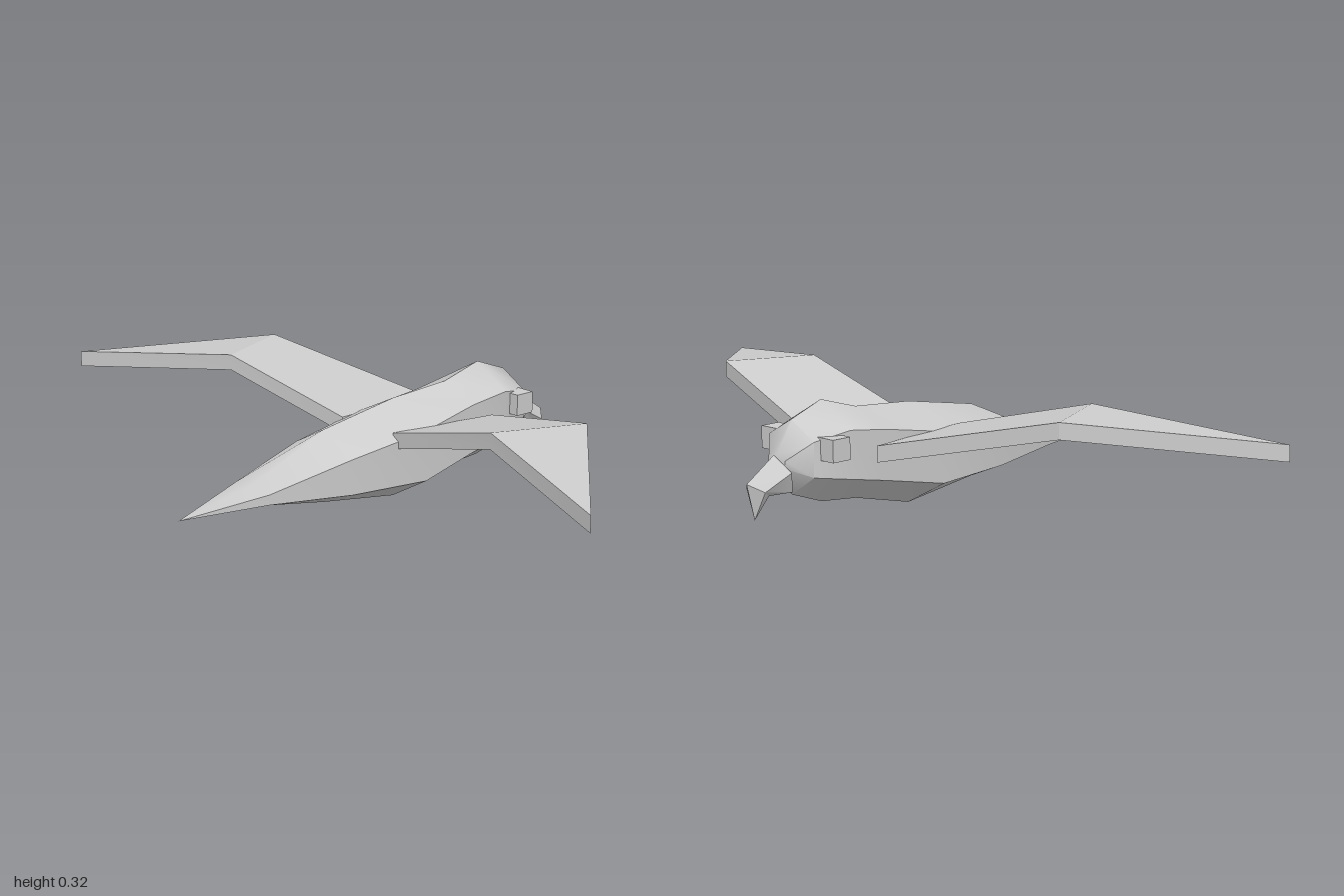
import * as THREE from 'three';
import { toCreasedNormals } from 'three/addons/utils/BufferGeometryUtils.js';

// Skin a series of rings (equal point counts), closing both ends; zero-area faces are dropped.
function loft(rings, crease) {
  const out = [];
  const tri = (a, b, c) => {
    const [A, B, C] = [a, b, c].map((p) => new THREE.Vector3(...p));
    if (B.sub(A).cross(C.sub(A)).length() > 1e-7) out.push(...a, ...b, ...c);
  };
  const n = rings[0].length;
  const last = rings[rings.length - 1];
  for (let i = 0; i < rings.length - 1; i++) {
    for (let j = 0; j < n; j++) {
      const k = (j + 1) % n;
      tri(rings[i][j], rings[i + 1][j], rings[i][k]);
      tri(rings[i][k], rings[i + 1][j], rings[i + 1][k]);
    }
  }
  for (let j = 1; j < n - 1; j++) {
    tri(rings[0][0], rings[0][j], rings[0][j + 1]);
    tri(last[0], last[j + 1], last[j]);
  }
  const g = new THREE.BufferGeometry();
  g.setAttribute('position', new THREE.Float32BufferAttribute(out, 3));
  return toCreasedNormals(g, crease);
}

export function createModel() {
  const model = new THREE.Group();
  model.name = 'bird';
  const grey = new THREE.MeshStandardMaterial({ color: 0xcccccc });
  grey.name = 'plain grey';
  const add = (name, geometry) => {
    const mesh = new THREE.Mesh(geometry, grey);
    mesh.name = name;
    model.add(mesh);
    return mesh;
  };

  // Body: hexagonal sections from tail tip to face
  // [z, half width, top, upper side, lower side, bottom]
  const sections = [
    [0.635, 0, 0.087, 0.087, 0.087, 0.087],
    [0.40, 0.07, 0.132, 0.122, 0.095, 0.085],
    [0.16, 0.112, 0.232, 0.175, 0.08, 0.035],
    [-0.08, 0.132, 0.272, 0.21, 0.073, 0.002],
    [-0.27, 0.11, 0.285, 0.24, 0.108, 0.045],
    [-0.39, 0.11, 0.319, 0.255, 0.13, 0.056],
    [-0.49, 0.082, 0.282, 0.235, 0.145, 0.09],
    [-0.54, 0.03, 0.2, 0.187, 0.168, 0.155],
  ];
  add('body', loft(sections.map(([z, w, top, up, low, bottom]) => [
    [0, bottom, z], [w, low, z], [w, up, z], [0, top, z], [-w, up, z], [-w, low, z],
  ]), 0.72));

  // Hooked beak: five-sided sections closing to a point
  const beakRing = (ridge, side, under) => [
    [under[0], under[1], under[2]], [side[0], side[1], side[2]], [0, ridge[0], ridge[1]],
    [-side[0], side[1], side[2]], [-under[0], under[1], under[2]],
  ];
  add('beak', loft([
    beakRing([0.2, -0.55], [0.05, 0.16, -0.535], [0.03, 0.105, -0.515]),
    beakRing([0.14, -0.64], [0.035, 0.12, -0.61], [0.02, 0.105, -0.585]),
    beakRing([0.045, -0.615], [0, 0.045, -0.615], [0, 0.045, -0.615]),
  ], 0.3));

  // Wings and eyes, mirrored
  // [lead x, lead z, trail x, trail z, lead bottom y, trail bottom y]
  const wing = [
    [0.13, -0.32, 0.10, 0.01, 0.165, 0.172],
    [0.61, -0.178, 0.51, 0.06, 0.272, 0.272],
    [1, 0.22, 1, 0.22, 0.215, 0.215],
  ];
  const thick = 0.043;
  for (const s of [1, -1]) {
    const side = s > 0 ? 'left' : 'right';
    add(side + 'Wing', loft(wing.map(([lx, lz, tx, tz, ly, ty]) => {
      const ring = [
        [s * lx, ly, lz], [s * tx, ty, tz], [s * tx, ty + thick, tz], [s * lx, ly + thick, lz],
      ];
      return s > 0 ? ring : ring.reverse();
    }), 0.25));
    add(side + 'Eye', new THREE.BoxGeometry(0.06, 0.058, 0.058)).position.set(s * 0.102, 0.216, -0.443);
  }
  return model;
}
